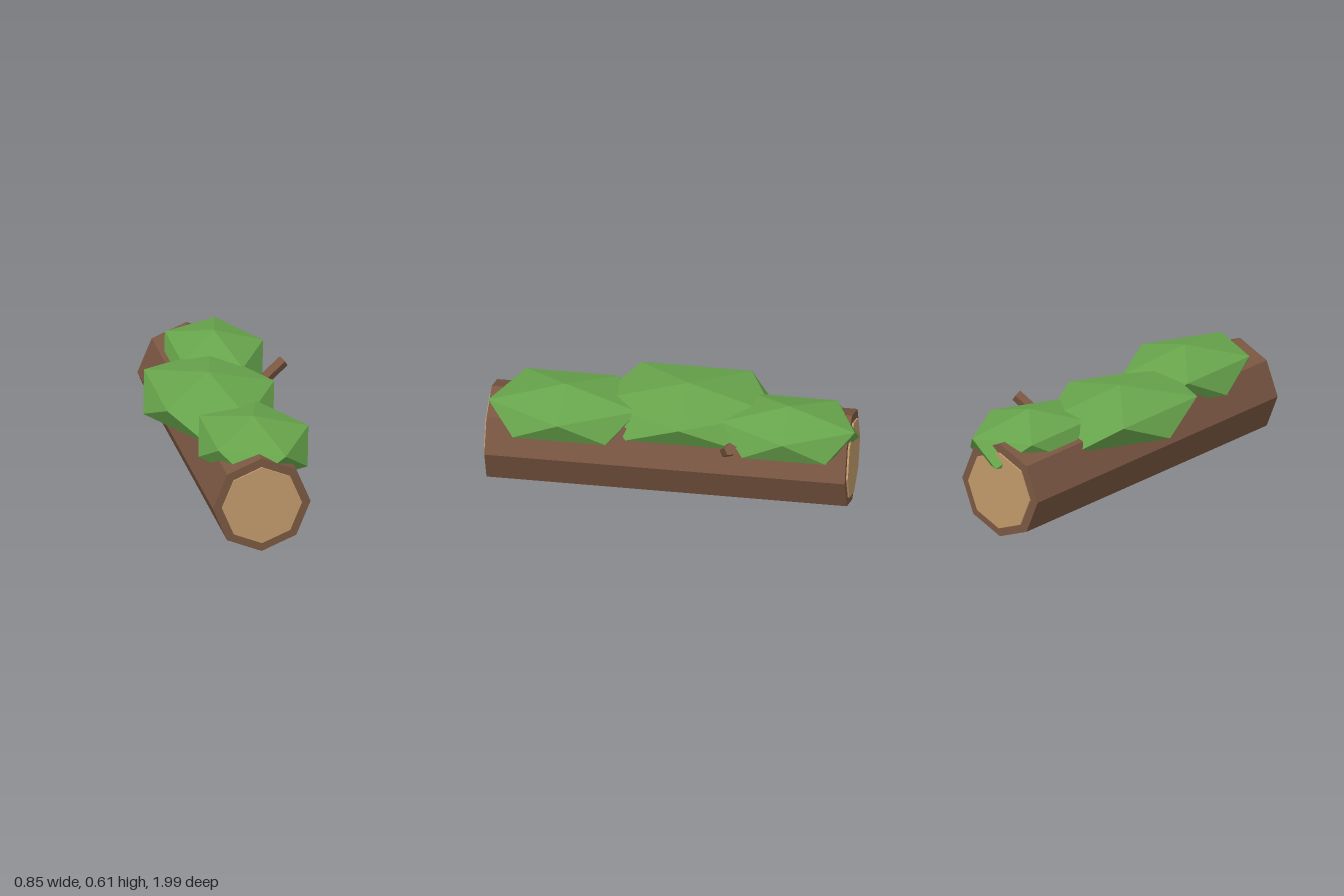
import * as THREE from 'three';
import { ConvexGeometry } from 'three/addons/geometries/ConvexGeometry.js';

export function createModel() {
  const model = new THREE.Group();
  model.name = 'mossyLog';

  const makeMaterial = (name, color) => {
    const m = new THREE.MeshStandardMaterial({ color, flatShading: true });
    m.name = name;
    return m;
  };
  const bark = makeMaterial('bark', 0x7a5742);
  const cutWood = makeMaterial('cutWood', 0xc19a6b);
  const mossGreen = makeMaterial('mossGreen', 0x68a54c);

  const add = (name, geometry, material, x = 0, y = 0, z = 0) => {
    const mesh = new THREE.Mesh(geometry, material);
    mesh.name = name;
    mesh.position.set(x, y, z);
    model.add(mesh);
    return mesh;
  };

  // Eight-sided trunk lying along z
  const logY = 0.27, frontZ = 0.985, backZ = -0.96;
  const trunk = new THREE.CylinderGeometry(0.267, 0.267, frontZ - backZ, 8).rotateX(Math.PI / 2);
  add('trunk', trunk, bark, 0, logY, (frontZ + backZ) / 2);

  // Pale sawn faces, standing just proud of both ends
  const disc = new THREE.CylinderGeometry(0.218, 0.218, 0.02, 8).rotateX(Math.PI / 2);
  add('frontCut', disc, cutWood, 0, logY, frontZ);
  add('backCut', disc, cutWood, 0, logY, backZ);

  // Broken branch stub leaning out on the left side
  const root = new THREE.Vector3(0.15, 0.335, -0.293);
  const tip = new THREE.Vector3(0.402, 0.521, -0.365);
  const axis = tip.clone().sub(root);
  const branch = add('branchStub', new THREE.CylinderGeometry(0.035, 0.035, axis.length(), 5), bark);
  branch.position.copy(root).add(tip).multiplyScalar(0.5);
  branch.quaternion.setFromUnitVectors(new THREE.Vector3(0, 1, 0), axis.normalize());

  // Flattened icosahedron standing on a point: two poles and two staggered rings
  const mossGeometry = (rx, ry, rz) => {
    const points = [new THREE.Vector3(0, ry, 0), new THREE.Vector3(0, -ry, 0)];
    for (let i = 0; i < 10; i++) {
      const a = (i * Math.PI) / 5;
      const h = i % 2 ? -0.447 : 0.447;
      points.push(new THREE.Vector3(Math.cos(a) * 0.894 * rx, h * ry, Math.sin(a) * 0.894 * rz));
    }
    return new ConvexGeometry(points);
  };

  // Moss clumps along the top: x, z, radius across, radius along
  [
    ['frontMoss', 0.04, 0.58, 0.336, 0.475],
    ['middleMoss', -0.067, -0.067, 0.4, 0.567],
    ['backMoss', 0.08, -0.635, 0.302, 0.428],
  ].forEach(([name, x, z, rx, rz]) => add(name, mossGeometry(rx, 0.146, rz), mossGreen, x, 0.47, z));

  return model;
}
